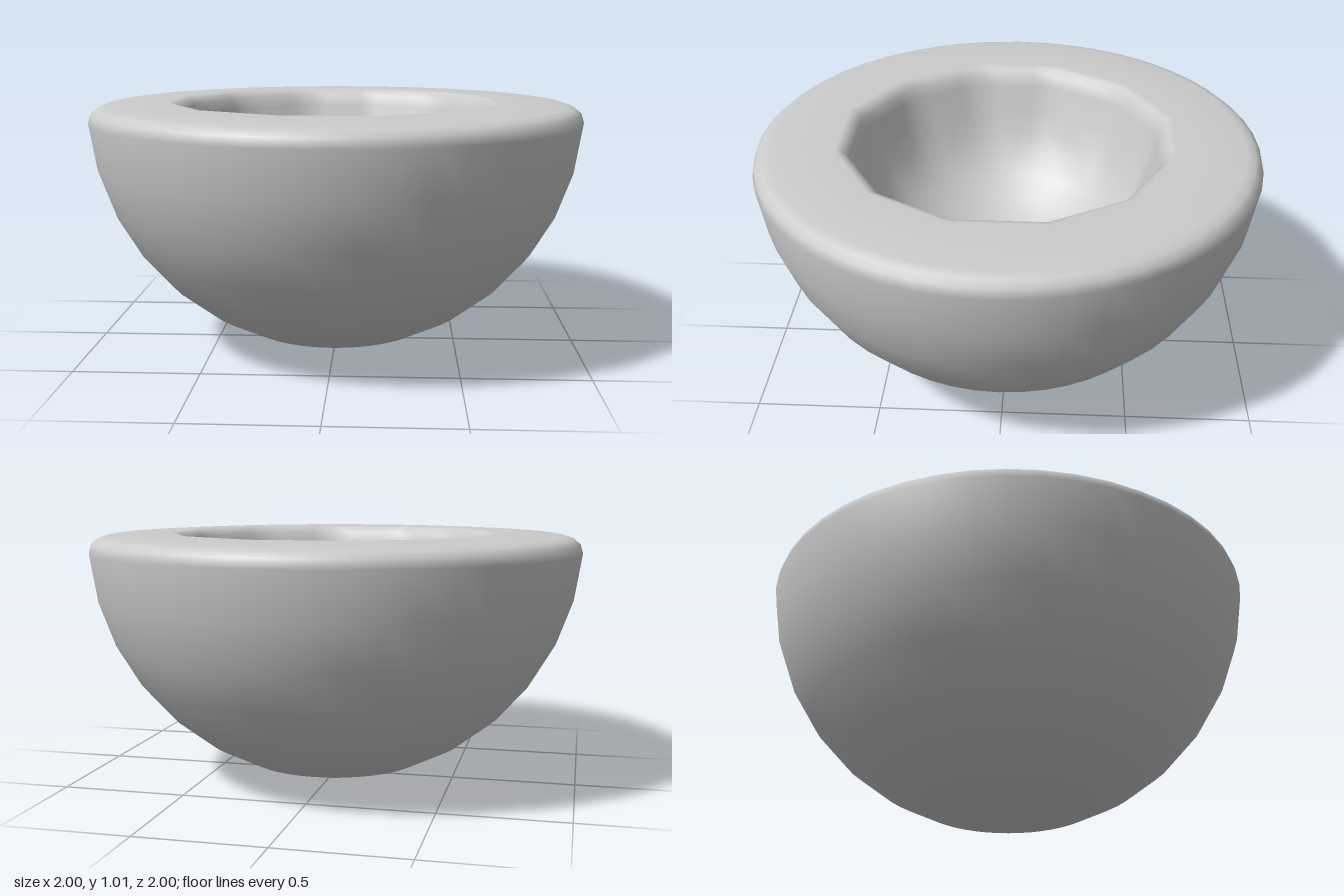
import * as THREE from 'three';
import { mergeVertices } from 'three/addons/utils/BufferGeometryUtils.js';

const SIDES = 48;
const LIP_SIDES = 12;

export function createModel() {
  const group = new THREE.Group();
  group.name = 'bowl';
  const profile = [];
  const add = (r, y) => profile.push(new THREE.Vector2(r, y));

  // Outer hemisphere, from the base to the rim
  for (let i = 0; i <= 8; i++) {
    const a = (i / 8) * 1.51;
    add(Math.sin(a), 1 - Math.cos(a));
  }
  // Rounded rim and nearly flat top
  add(0.988, 0.975);
  add(0.965, 0.995);
  add(0.93, 1.006);
  add(0.8, 1.013);
  add(0.68, 1.015);
  // Lip of the hollow
  add(0.655, 1.008);
  add(0.63, 0.985);
  add(0.615, 0.94);
  // Round hollow, down to its floor
  for (let i = 1; i <= 9; i++) {
    const a = 1.45 * (1 - i / 9);
    add(0.61 * Math.sin(a), 1 - 0.61 * Math.cos(a));
  }
  profile[profile.length - 1].x = 0;

  let geometry = new THREE.LatheGeometry(profile, SIDES);
  const pos = geometry.attributes.position;
  const rows = profile.length;
  const step = (2 * Math.PI) / LIP_SIDES;

  // Turn the lip into a soft twelve-sided opening
  for (let i = 0; i < pos.count; i++) {
    const row = i % rows;
    if (row < 13 || row > 18) continue;
    const x = pos.getX(i), z = pos.getZ(i);
    const angle = Math.atan2(z, x);
    const local = angle - Math.round(angle / step) * step;
    const k = Math.cos(step / 2) / Math.cos(local);
    pos.setX(i, x * k);
    pos.setZ(i, z * k);
  }

  // Weld the seam and poles for smooth shading
  geometry.deleteAttribute('uv');
  geometry.deleteAttribute('normal');
  geometry = mergeVertices(geometry, 1e-4);
  geometry.computeVertexNormals();

  const shell = new THREE.Mesh(geometry, new THREE.MeshStandardMaterial({ color: 0xcccccc }));
  shell.name = 'bowlShell';
  group.add(shell);
  return group;
}
